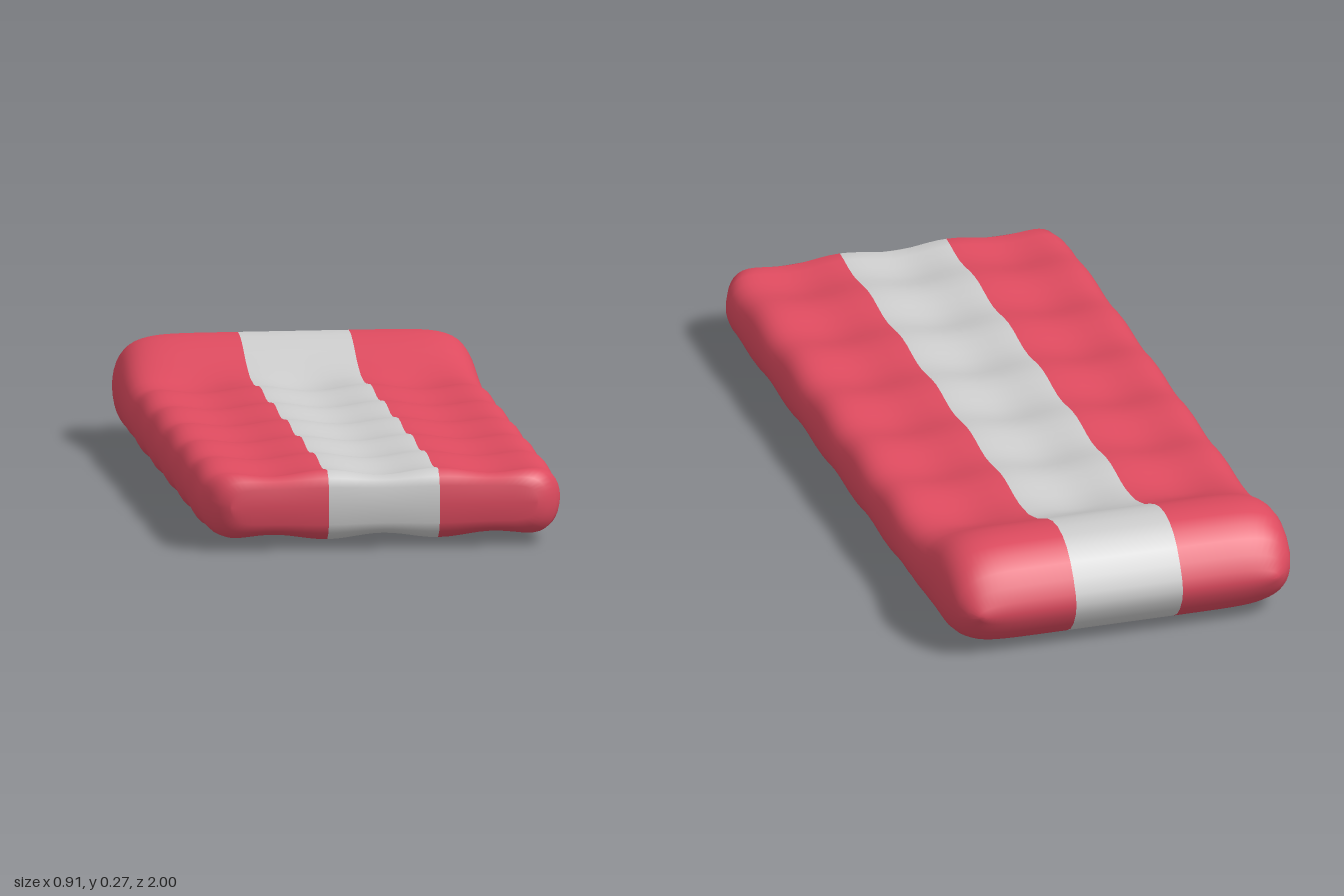
import * as THREE from 'three';
import { mergeVertices } from 'three/addons/utils/BufferGeometryUtils.js';

const BAND = 0.14; // half width of the centre band

// Lengthwise stations: z, bottom, top, half width, quilting strength, edge squareness
function makeStations() {
  const list = [
    [1, 0.115, 0.115, 0.385, 0, 16],
    [1, 0.068, 0.162, 0.39, 0.2, 16],
    [0.988, 0.045, 0.184, 0.415, 0.5, 16],
    [0.965, 0.025, 0.203, 0.437, 1, 16],
    [0.93, 0.022, 0.205, 0.451, 1, 16],
  ];
  for (let i = 0; i <= 36; i++) list.push([0.893 - i * 0.0405, 0.022, 0.205, 0.457, 1, 16]);
  // pillow at the back end
  list.push(
    [-0.60, 0.028, 0.202, 0.457, 0.8, 15],
    [-0.64, 0.026, 0.209, 0.457, 0.35, 14],
    [-0.68, 0.022, 0.222, 0.457, 0.1, 12],
    [-0.72, 0.016, 0.241, 0.457, 0, 11],
    [-0.76, 0.010, 0.259, 0.457, 0, 10],
    [-0.80, 0.006, 0.271, 0.457, 0, 10],
    [-0.845, 0.004, 0.275, 0.457, 0, 10],
    [-0.885, 0.010, 0.268, 0.453, 0, 10],
    [-0.92, 0.022, 0.252, 0.447, 0, 10],
    [-0.95, 0.040, 0.225, 0.437, 0, 10],
    [-0.975, 0.066, 0.190, 0.417, 0, 10],
    [-0.993, 0.098, 0.155, 0.395, 0, 10],
    [-1, 0.127, 0.127, 0.38, 0, 10],
  );
  return list;
}

// Columns across the width: values under 1 lie in the band, 1 to 2 run out to the rim
function makeColumns() {
  const half = [];
  for (let i = 1; i <= 6; i++) half.push(i / 6);
  for (let i = 1; i <= 18; i++) half.push(1 + Math.sin((i / 18) * Math.PI / 2));
  return [...half.map((c) => -c).reverse(), 0, ...half];
}

// Depth of the rows of soft dimples
function dimple(x, z) {
  const cx = (1 + Math.cos((2 * Math.PI * x) / 0.28)) / 2;
  const cz = (1 + Math.cos((2 * Math.PI * (z - 0.03)) / 0.276)) / 2;
  return 0.013 * cx + 0.014 * cz + 0.006 * cx * cz;
}

function surfacePoint([z, bottom, top, width, quilt, power], column, side) {
  const a = Math.abs(column);
  const x = Math.sign(column) * (a <= 1 ? a * BAND : BAND + (a - 1) * (width - BAND));
  const edge = a === 2 ? 0 : Math.sqrt(Math.max(0, 1 - Math.pow(Math.abs(x) / width, power)));
  const mid = (top + bottom) / 2;
  const thick = (top - bottom) / 2 - quilt * dimple(x, z);
  return [x, mid + side * Math.max(0, thick) * edge, z];
}

export function createModel() {
  const group = new THREE.Group();
  group.name = 'airMattress';
  const stations = makeStations();
  const columns = makeColumns();
  const n = columns.length;
  const positions = [];
  const strips = [[], [], []]; // right, centre, left

  // Upper and lower skins share their rim
  for (const side of [1, -1]) {
    const base = positions.length / 3;
    stations.forEach((s) => columns.forEach((c) => positions.push(...surfacePoint(s, c, side))));
    for (let i = 0; i < stations.length - 1; i++) {
      for (let j = 0; j < n - 1; j++) {
        const middle = (columns[j] + columns[j + 1]) / 2;
        const strip = strips[middle < -1 ? 0 : middle > 1 ? 2 : 1];
        const a = base + i * n + j, b = a + 1, c = a + n, d = c + 1;
        if (side > 0) strip.push(a, b, d, a, d, c);
        else strip.push(a, d, b, a, c, d);
      }
    }
  }

  // Weld the whole skin so the shading runs smoothly across the strips
  let skin = new THREE.BufferGeometry();
  skin.setAttribute('position', new THREE.Float32BufferAttribute(positions, 3));
  skin.setIndex(strips.flat());
  skin = mergeVertices(skin, 1e-5);
  skin.computeVertexNormals();

  const red = new THREE.MeshStandardMaterial({ color: 0xdc4a5e });
  const grey = new THREE.MeshStandardMaterial({ color: 0xcccccc });
  const welded = Array.from(skin.index.array);
  let start = 0;
  ['rightStrip', 'centreStrip', 'leftStrip'].forEach((name, k) => {
    const geometry = new THREE.BufferGeometry();
    geometry.setAttribute('position', skin.attributes.position);
    geometry.setAttribute('normal', skin.attributes.normal);
    geometry.setIndex(welded.slice(start, start + strips[k].length));
    start += strips[k].length;
    const mesh = new THREE.Mesh(geometry, k === 1 ? grey : red);
    mesh.name = name;
    group.add(mesh);
  });
  return group;
}
